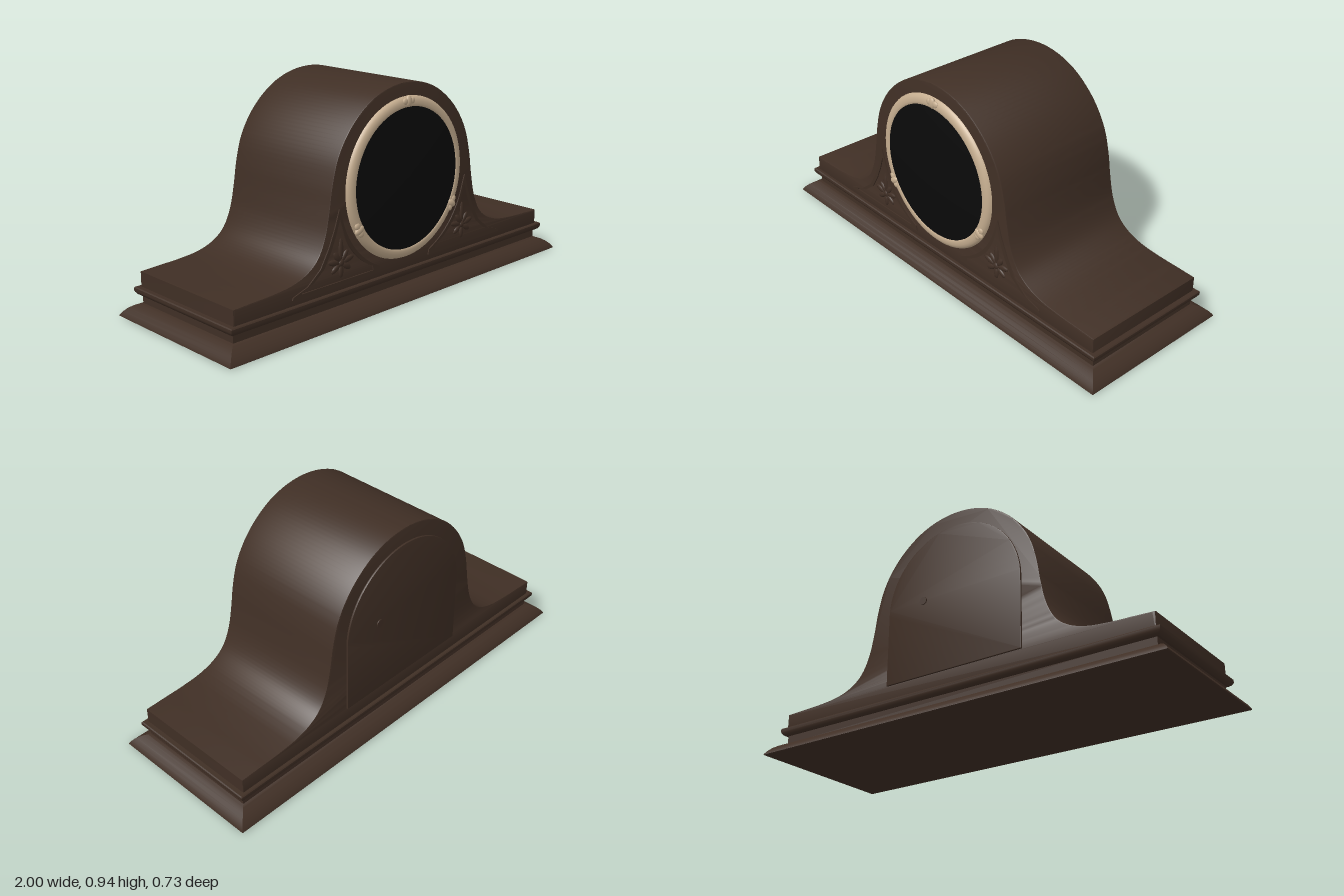
import * as THREE from 'three';
import { toCreasedNormals } from 'three/addons/utils/BufferGeometryUtils.js';

const wood = new THREE.MeshStandardMaterial({ color: 0x402f25 });
wood.name = 'dark walnut';
const brass = new THREE.MeshStandardMaterial({ color: 0xc6ae90 });
brass.name = 'pale brass';
const black = new THREE.MeshStandardMaterial({ color: 0x0a0a0a });
black.name = 'black dial';

const DIAL_Y = 0.53;
const v2 = (p) => new THREE.Vector2(p[0], p[1]);

function add(parent, name, geometry, material, x = 0, y = 0, z = 0) {
  const mesh = new THREE.Mesh(geometry, material);
  mesh.name = name;
  mesh.position.set(x, y, z);
  parent.add(mesh);
  return mesh;
}

// Stack of rectangles [half depth, y]; the width follows the depth
function rectLoft(profile, extraX) {
  const pos = [];
  const ring = ([d, y]) => [[1, 1], [1, -1], [-1, -1], [-1, 1]].map(([sx, sz]) => [sx * (d + extraX), y, sz * d]);
  const quad = (a, b, c, d) => pos.push(...a, ...b, ...c, ...a, ...c, ...d);
  const rings = profile.map(ring);
  for (let i = 0; i < rings.length - 1; i++) {
    for (let k = 0; k < 4; k++) {
      const n = (k + 1) % 4;
      quad(rings[i][k], rings[i][n], rings[i + 1][n], rings[i + 1][k]);
    }
  }
  const b = rings[0], t = rings[rings.length - 1];
  quad(b[3], b[2], b[1], b[0]);
  quad(t[0], t[1], t[2], t[3]);
  const g = new THREE.BufferGeometry();
  g.setAttribute('position', new THREE.Float32BufferAttribute(pos, 3));
  g.computeVertexNormals();
  return toCreasedNormals(g, 0.5);
}

function extrude(shape, depth, bevel, curveSegments = 6) {
  const g = new THREE.ExtrudeGeometry(shape, {
    depth: depth - 2 * bevel, curveSegments,
    bevelEnabled: bevel > 0, bevelSize: bevel, bevelThickness: bevel, bevelOffset: -bevel, bevelSegments: 2,
  });
  g.translate(0, 0, bevel);
  return toCreasedNormals(g, 0.5);
}

// Case outline: flat shoulders sweeping up into a round top
function caseShape() {
  const half = [[0.93, 0.196], [0.84, 0.2], [0.74, 0.204], [0.64, 0.215], [0.56, 0.242], [0.5, 0.29], [0.46, 0.37],
    [0.437, 0.47], [0.42, 0.57], [0.392, 0.67], [0.345, 0.755], [0.28, 0.828], [0.195, 0.889], [0.1, 0.925]];
  const curve = [...half, [0, 0.937], ...half.slice().reverse().map(([x, y]) => [-x, y])];
  const s = new THREE.Shape();
  s.moveTo(-0.93, 0.12);
  s.lineTo(0.93, 0.12);
  s.lineTo(0.93, 0.196);
  s.splineThru(curve.slice(1).map(v2));
  s.closePath();
  return s;
}

// Triangular corner outline that hugs the bezel and the case sweep
function spandrelPoints() {
  const sweep = [[0.64, 0.155], [0.635, 0.166], [0.56, 0.19], [0.49, 0.245], [0.445, 0.32], [0.41, 0.4], [0.385, 0.475]];
  const pts = sweep.map(v2).reverse();
  const arc = [];
  for (let i = 0; i <= 12; i++) {
    const a = THREE.MathUtils.degToRad(-66 + (i * 56) / 12);
    arc.push(new THREE.Vector2(Math.cos(a) * 0.383, DIAL_Y + Math.sin(a) * 0.383));
  }
  const low = arc.filter((p) => p.y < 0.455);
  return [...pts, new THREE.Vector2(0.15, 0.155), ...low];
}

function spandrel(side) {
  const group = new THREE.Group();
  group.name = side > 0 ? 'leftSpandrel' : 'rightSpandrel';
  const mirror = (pts) => pts.map((p) => new THREE.Vector2(p.x * side, p.y));
  const outer = spandrelPoints();
  const inner = outer.map((p) => new THREE.Vector2(0.378 + (p.x - 0.378) * 0.82, 0.235 + (p.y - 0.235) * 0.82));
  const shape = new THREE.Shape(mirror(outer));
  shape.holes.push(new THREE.Path(mirror(inner)));
  add(group, 'spandrelFrame', extrude(shape, 0.01, 0), wood, 0, 0, 0.297);

  // Carved leaf spray: [angle, length]
  const leaves = [[90, 0.1], [52, 0.06], [128, 0.06], [12, 0.07], [168, 0.07], [-32, 0.06], [212, 0.06], [-90, 0.06]];
  for (const [deg, len] of leaves) {
    const a = THREE.MathUtils.degToRad(deg);
    const g = new THREE.SphereGeometry(1, 10, 6);
    g.scale(len / 2, 0.013, 0.008);
    const leaf = add(group, 'carvedLeaf', g, wood, 0.375 * side + Math.cos(a) * len * 0.58, 0.245 + Math.sin(a) * len * 0.58, 0.301);
    leaf.rotation.z = a;
  }
  const bud = new THREE.SphereGeometry(0.016, 12, 8);
  bud.scale(1, 1, 0.6);
  add(group, 'carvedBud', bud, wood, 0.375 * side, 0.245, 0.301);
  return group;
}

export function createModel() {
  const clock = new THREE.Group();
  clock.name = 'mantelClock';

  // Moulded plinth
  add(clock, 'plinth', rectLoft([[0.362, 0], [0.366, 0.003], [0.364, 0.009], [0.354, 0.023], [0.34, 0.037], [0.322, 0.049],
    [0.305, 0.056], [0.294, 0.06], [0.294, 0.1]], 0.634), wood);
  add(clock, 'plinthMoulding', rectLoft([[0.302, 0.095], [0.31, 0.1], [0.316, 0.109], [0.318, 0.114], [0.318, 0.126],
    [0.314, 0.13]], 0.635), wood);

  // Case
  add(clock, 'case', extrude(caseShape(), 0.604, 0.005, 5), wood, 0, 0, -0.302);
  for (const side of [-1, 1]) clock.add(spandrel(side));

  // Dial and bezel, lathed about the z axis
  const dial = new THREE.Group();
  dial.name = 'dial';
  dial.position.set(0, DIAL_Y, 0.3);
  clock.add(dial);
  const bezelProfile = [[0.3, 0], [0.302, 0.016], [0.308, 0.02], [0.316, 0.021], [0.328, 0.02], [0.338, 0.016], [0.346, 0.009],
    [0.35, 0]].map(v2).reverse();
  add(dial, 'bezel', new THREE.LatheGeometry(bezelProfile, 72).rotateX(Math.PI / 2), brass);
  const glassProfile = [];
  for (let i = 0; i <= 10; i++) {
    const r = 0.308 * (1 - i / 10);
    glassProfile.push(new THREE.Vector2(r, 0.018 + 0.023 * (1 - (r / 0.308) ** 2)));
  }
  add(dial, 'domedDial', new THREE.LatheGeometry(glassProfile, 72).rotateX(Math.PI / 2), black);

  // Bow ornaments around the bezel
  for (const deg of [90, 210, 330]) {
    const bow = new THREE.Group();
    bow.name = 'bezelOrnament';
    const a = THREE.MathUtils.degToRad(deg);
    bow.position.set(Math.cos(a) * 0.329, Math.sin(a) * 0.329, 0.017);
    bow.rotation.z = a - Math.PI / 2;
    const knot = new THREE.SphereGeometry(1, 14, 10);
    knot.scale(0.017, 0.026, 0.011);
    add(bow, 'ornamentKnot', knot, brass);
    for (const s of [-1, 1]) {
      const ribbon = new THREE.SphereGeometry(1, 12, 8);
      ribbon.scale(0.017, 0.015, 0.008);
      add(bow, 'ornamentRibbon', ribbon, brass, s * 0.02, 0, 0);
    }
    dial.add(bow);
  }

  // Arched back door with its small knob
  const door = new THREE.Shape();
  door.moveTo(-0.345, 0.196);
  door.lineTo(0.345, 0.196);
  door.lineTo(0.345, 0.52);
  door.absarc(0, 0.52, 0.345, 0, Math.PI, false);
  door.closePath();
  add(clock, 'backDoor', extrude(door, 0.012, 0.002, 40), wood, 0, 0, -0.31);
  add(clock, 'doorKnob', new THREE.CylinderGeometry(0.018, 0.018, 0.008, 20).rotateX(Math.PI / 2), wood, 0.155, 0.545, -0.311);

  return clock;
}
